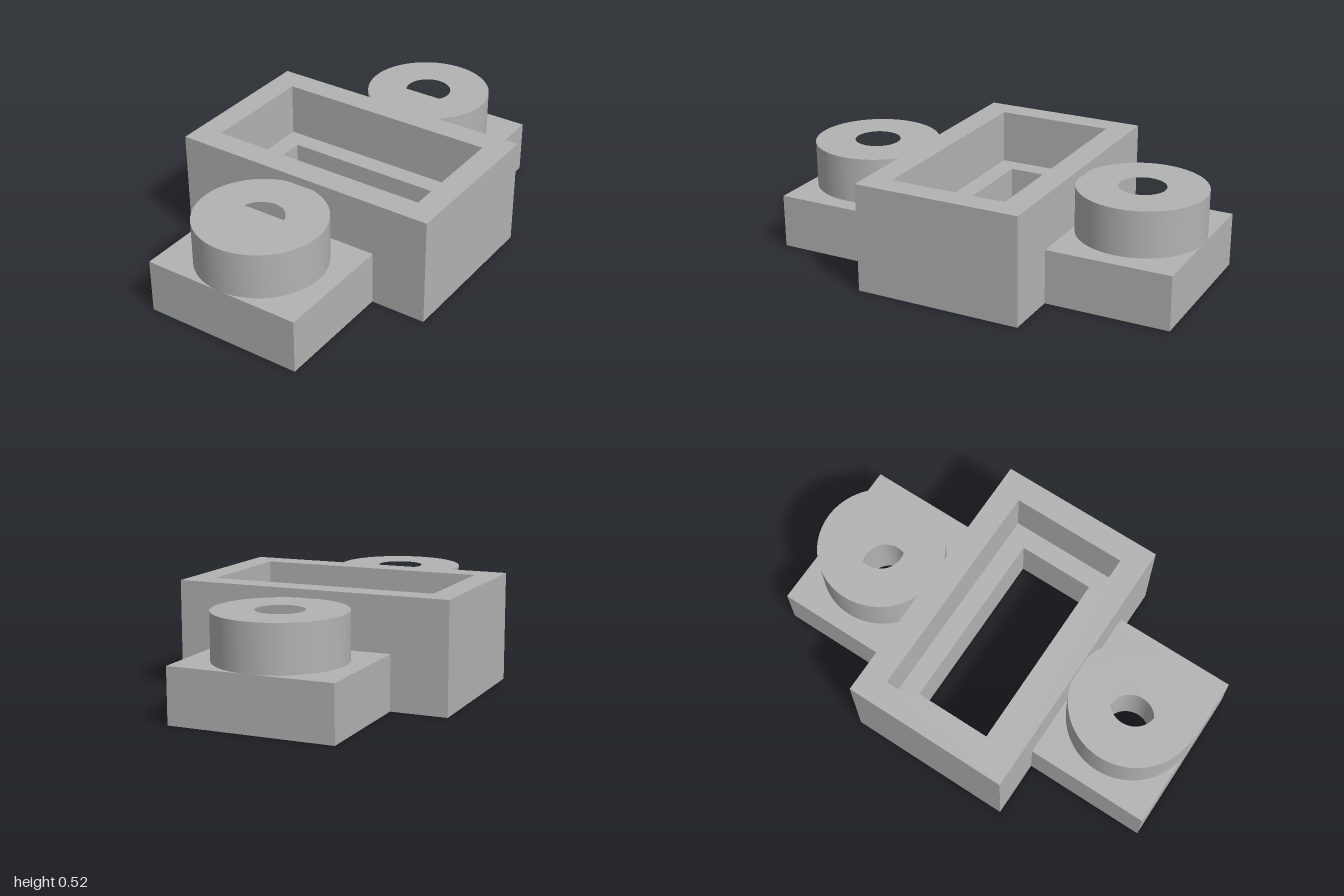
import * as THREE from 'three';
import { toCreasedNormals } from 'three/addons/utils/BufferGeometryUtils.js';

const HALF_X = 0.66, HALF_Z = 0.404;   // central housing
const TAB_X = 0.39;                    // mounting tabs
const BOSS_Z = 0.698, BOSS_R = 0.302, BORE_R = 0.11;
const STEP_Y = 0.26, HOUSING_TOP = 0.52, BOSS_TOP = 0.48;

const points = (list) => list.map(([x, y]) => new THREE.Vector2(x, y));
const rect = (x, z) => points([[-x, -z], [x, -z], [x, z], [-x, z]]);

function circle(r, z = 0) {
  const path = new THREE.Path();
  path.absarc(0, z, r, 0, Math.PI * 2, true);
  return path;
}

// Raise a floor-plan outline with holes from y0 to y1
function raise(outline, holes, y0, y1) {
  const shape = new THREE.Shape(outline);
  shape.holes.push(...holes);
  const geometry = new THREE.ExtrudeGeometry(shape, { depth: y1 - y0, bevelEnabled: false, curveSegments: 64 });
  geometry.rotateX(-Math.PI / 2);
  geometry.translate(0, y0, 0);
  return toCreasedNormals(geometry, Math.PI / 6);
}

export function createModel() {
  const group = new THREE.Group();
  const grey = new THREE.MeshStandardMaterial({ color: 0xb3b3b3 });
  grey.name = 'plain grey';

  const add = (name, geometry) => {
    const mesh = new THREE.Mesh(geometry, grey);
    mesh.name = name;
    group.add(mesh);
    return mesh;
  };

  // Cross-shaped base: lower housing and both tabs, with slot and screw bores
  const plan = points([
    [-TAB_X, -1], [TAB_X, -1], [TAB_X, -HALF_Z], [HALF_X, -HALF_Z],
    [HALF_X, HALF_Z], [TAB_X, HALF_Z], [TAB_X, 1], [-TAB_X, 1],
    [-TAB_X, HALF_Z], [-HALF_X, HALF_Z], [-HALF_X, -HALF_Z], [-TAB_X, -HALF_Z],
  ]);
  const slot = new THREE.Path(rect(0.447, 0.188));
  add('base', raise(plan, [slot, circle(BORE_R, BOSS_Z), circle(BORE_R, -BOSS_Z)], 0, STEP_Y));

  // Upper housing wall around the wider pocket, leaving a ledge
  const pocket = new THREE.Path(rect(0.542, 0.283));
  add('housingWall', raise(rect(HALF_X, HALF_Z), [pocket], STEP_Y, HOUSING_TOP));

  // Hollow round bosses on the front and back tabs
  const ring = circle(BOSS_R).getPoints(64).slice(0, -1);
  const bossGeometry = raise(ring, [circle(BORE_R)], STEP_Y, BOSS_TOP);
  for (const [name, side] of [['frontBoss', 1], ['backBoss', -1]]) {
    add(name, bossGeometry).position.z = side * BOSS_Z;
  }
  return group;
}
